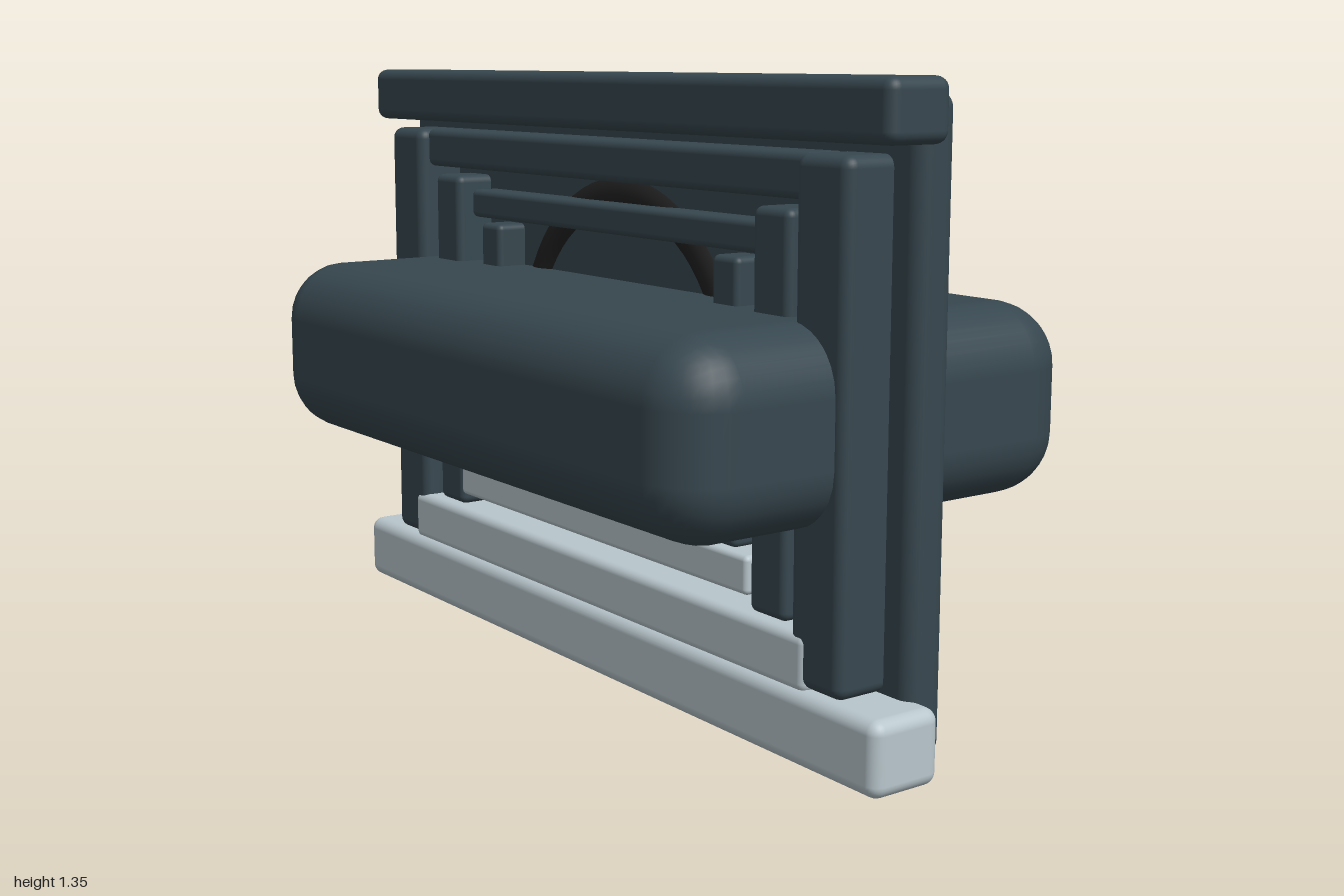
import * as THREE from 'three';
import { RoundedBoxGeometry } from 'three/addons/geometries/RoundedBoxGeometry.js';

const dark = new THREE.MeshStandardMaterial({ color: 0x37474f });
const light = new THREE.MeshStandardMaterial({ color: 0xb8c6cc });
const black = new THREE.MeshStandardMaterial({ color: 0x212121 });

export function createModel() {
  const model = new THREE.Group();

  const add = (name, geometry, material, x, y, z) => {
    const mesh = new THREE.Mesh(geometry, material);
    mesh.name = name;
    mesh.position.set(x, y, z);
    model.add(mesh);
    return mesh;
  };
  // Rounded block given by its extents on each axis
  const block = (name, material, [x0, x1], [y0, y1], [z0, z1], radius) =>
    add(name, new RoundedBoxGeometry(x1 - x0, y1 - y0, z1 - z0, 4, radius), material,
      (x0 + x1) / 2, (y0 + y1) / 2, (z0 + z1) / 2);

  // Wall panel with its cornice
  block('backPanel', dark, [-0.95, 0.95], [0.03, 1.32], [-0.047, 0.047], 0.035);
  block('cornice', dark, [-0.975, 0.975], [1.22, 1.345], [-0.005, 0.15], 0.025);

  // Three pale steps, each narrower and shallower than the one below
  block('baseStep', light, [-1, 1], [0, 0.155], [0.01, 0.18], 0.028);
  block('middleStep', light, [-0.775, 0.775], [0.145, 0.265], [0.01, 0.165], 0.02);
  block('upperStep', light, [-0.57, 0.57], [0.295, 0.378], [0.01, 0.145], 0.012);

  // Nested door frames: pairs of posts, stepping back toward the middle
  const posts = [
    ['outerPost', [0.72, 0.875], [0.155, 1.2], 0.16, 0.025],
    ['middlePost', [0.57, 0.685], [0.265, 1.09], 0.14, 0.018],
    ['innerPost', [0.415, 0.5], [0.375, 0.98], 0.12, 0.014],
  ];
  for (const [name, [x0, x1], y, front, r] of posts) {
    block(name + 'Left', dark, [x0, x1], y, [0, front], r);
    block(name + 'Right', dark, [-x1, -x0], y, [0, front], r);
  }
  block('outerLintel', dark, [-0.735, 0.735], [1.108, 1.2], [0, 0.135], 0.018);
  block('middleLintel', dark, [-0.56, 0.56], [0.99, 1.057], [0, 0.11], 0.014);

  // Ring and upright bar set through the panel, showing on both faces
  add('ring', new THREE.TorusGeometry(0.39, 0.06, 20, 64), black, 0, 0.685, 0);
  add('uprightBar', new THREE.CylinderGeometry(0.06, 0.06, 0.58, 24), light, 0, 0.51, 0);

  // Large rounded block passing through the middle
  block('crossBlock', dark, [-0.85, 0.85], [0.472, 0.88], [-0.512, 0.512], 0.135);

  return model;
}
